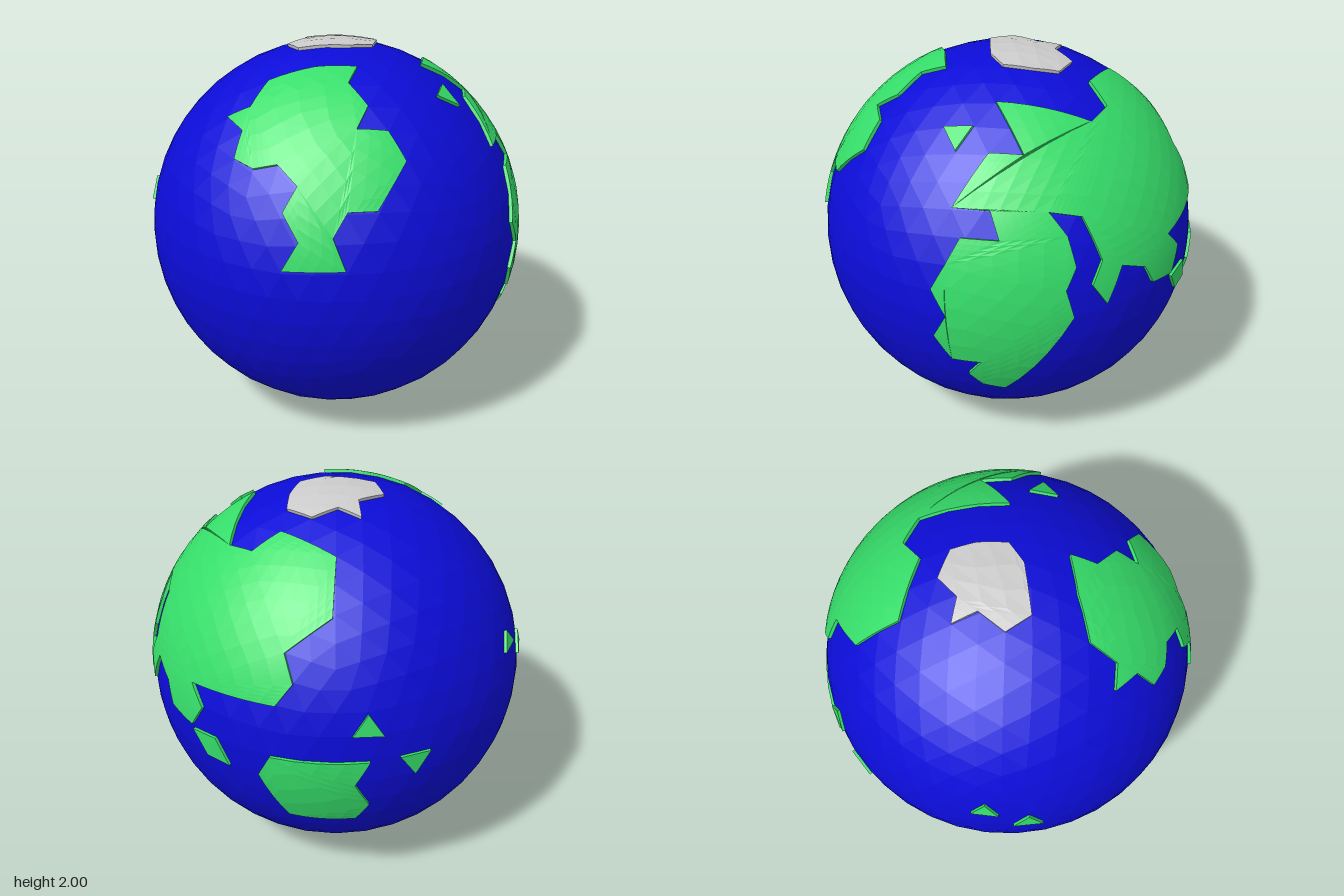
import * as THREE from 'three';

const CENTRE = [0, 0.992, 0.003];
const OCEAN_R = 0.992, LAND_R = 1.007, SUNK_R = 0.975;

const material = (color) => new THREE.MeshStandardMaterial({ color, flatShading: true });

// Outlines as directions from the globe's centre (x, y, z)
const frontContinent = [
  0.30, 0.94, 0.14, 0.36, 0.895, 0.26, 0.51, 0.82, 0.275, 0.55, 0.74, 0.39, 0.637, 0.725, 0.27,
  0.75, 0.60, 0.265, 0.78, 0.42, 0.48, 0.695, 0.42, 0.59, 0.68, 0.31, 0.67, 0.747, 0.157, 0.65,
  0.515, 0.146, 0.846, 0.561, 0.285, 0.777, 0.465, 0.407, 0.786, 0.481, 0.519, 0.706,
  0.36, 0.598, 0.72, 0.26, 0.566, 0.783, 0.14, 0.588, 0.797, 0.10, 0.70, 0.71,
  -0.045, 0.73, 0.685, 0.053, 0.785, 0.615, 0.022, 0.88, 0.47, 0.163, 0.942, 0.29];

const northernContinent = [
  0.36, 0.895, -0.265, 0.44, 0.73, -0.52, 0.547, 0.737, -0.397, 0.765, 0.527, -0.37,
  0.67, 0.53, -0.525, 0.695, 0.414, -0.605, 0.475, 0.515, -0.71, 0.35, 0.48, -0.81,
  0.315, 0.27, -0.91, 0.38, 0.16, -0.91, 0.31, 0.04, -0.95, 0.215, 0.215, -0.95,
  0.073, 0.155, -0.983, 0.015, 0.045, -0.998, -0.155, 0.015, -0.988, -0.228, 0.14, -0.964,
  -0.137, 0.24, -0.96, -0.58, 0.265, -0.77, -0.617, 0.376, -0.692, -0.535, 0.50, -0.68,
  -0.61, 0.645, -0.46, -0.435, 0.845, -0.312, -0.136, 0.895, -0.424, -0.10, 0.817, -0.568,
  0.056, 0.797, -0.60];

const southernContinent = [
  0.695, 0.414, -0.605, 0.793, 0.41, -0.45, 0.865, 0.28, -0.417, 0.916, 0.152, -0.37,
  0.896, 0.019, -0.444, 0.918, -0.11, -0.38, 0.86, -0.249, -0.444, 0.785, -0.249, -0.567,
  0.797, -0.35, -0.492, 0.731, -0.436, -0.524, 0.65, -0.468, -0.60, 0.471, 0.008, -0.882,
  0.50, 0.16, -0.85, 0.44, 0.265, -0.856, 0.44, 0.409, -0.797, 0.475, 0.515, -0.71];

const southernIsland = [
  -0.524, -0.131, -0.842, -0.583, -0.007, -0.813, -0.895, -0.01, -0.445, -0.851, -0.149, -0.503,
  -0.857, -0.30, -0.418, -0.788, -0.42, -0.451, -0.58, -0.408, -0.704];

const polarIce = [
  -0.32, 0.944, -0.08, -0.205, 0.969, -0.136, -0.18, 0.944, -0.275, -0.03, 0.947, -0.32,
  0.07, 0.969, -0.237, 0.157, 0.981, -0.115, 0.115, 0.993, 0.01, -0.067, 0.979, 0.195,
  -0.205, 0.968, 0.147, -0.205, 0.979, -0.013];

const islets = [
  [-0.86, 0.263, 0.44, -0.80, 0.354, 0.484, -0.785, 0.263, 0.56],
  [-0.758, 0.146, 0.635, -0.69, 0.247, 0.68, -0.652, 0.141, 0.745],
  [0.51, 0.82, -0.26, 0.63, 0.733, -0.26, 0.584, 0.80, -0.136],
  [-0.865, 0.244, -0.438, -0.917, 0.127, -0.38, -0.846, 0.136, -0.515],
  [-0.951, -0.005, -0.307, -0.988, -0.007, -0.15, -0.965, -0.13, -0.223],
  [-0.16, -0.01, -0.987, -0.313, 0.003, -0.95, -0.377, -0.137, -0.916, -0.242, -0.131, -0.96]];

// A raised plate on the sphere: curved top plus a rim that sinks into the ocean
function plateGeometry(flat, steps) {
  let points = [];
  for (let i = 0; i < flat.length; i += 3) {
    points.push(new THREE.Vector3().fromArray(flat, i).normalize());
  }
  // Project straight from the centre on to a tangent plane, so great circles stay straight
  const mid = points.reduce((sum, p) => sum.add(p), new THREE.Vector3()).normalize();
  const e1 = new THREE.Vector3(0.3, 0.2, 0.9).cross(mid).normalize();
  const e2 = mid.clone().cross(e1);
  const project = (p) => new THREE.Vector2(p.dot(e1), p.dot(e2)).divideScalar(p.dot(mid));
  if (THREE.ShapeUtils.isClockWise(points.map(project))) points.reverse();

  const positions = [];
  const put = (p, r) => positions.push(p.x * r, p.y * r, p.z * r);

  // Top, each triangle split into a grid and pushed out to the sphere
  for (const [ia, ib, ic] of THREE.ShapeUtils.triangulateShape(points.map(project), [])) {
    const [a, b, c] = [points[ia], points[ib], points[ic]];
    const at = (i, j) => a.clone().multiplyScalar(steps - i - j)
      .addScaledVector(b, i).addScaledVector(c, j).normalize();
    for (let i = 0; i < steps; i++) {
      for (let j = 0; j < steps - i; j++) {
        [at(i, j), at(i + 1, j), at(i, j + 1)].forEach((p) => put(p, LAND_R));
        if (i + j < steps - 1) {
          [at(i + 1, j), at(i + 1, j + 1), at(i, j + 1)].forEach((p) => put(p, LAND_R));
        }
      }
    }
  }
  // Rim
  points.forEach((a, k) => {
    const b = points[(k + 1) % points.length];
    for (let i = 0; i < steps; i++) {
      const p = a.clone().lerp(b, i / steps).normalize();
      const q = a.clone().lerp(b, (i + 1) / steps).normalize();
      put(p, SUNK_R); put(q, SUNK_R); put(q, LAND_R);
      put(p, SUNK_R); put(q, LAND_R); put(p, LAND_R);
    }
  });
  const geometry = new THREE.BufferGeometry();
  geometry.setAttribute('position', new THREE.Float32BufferAttribute(positions, 3));
  geometry.computeVertexNormals();
  return geometry;
}

export function createModel() {
  const globe = new THREE.Group();
  globe.name = 'globe';
  const add = (name, geometry, mat) => {
    const mesh = new THREE.Mesh(geometry, mat);
    mesh.name = name;
    mesh.position.set(...CENTRE);
    globe.add(mesh);
  };
  const green = material(0x36de6a);

  // Ocean: faceted ball with one corner at each pole
  const ball = new THREE.IcosahedronGeometry(OCEAN_R, 7);
  ball.rotateZ(Math.atan2(1, (1 + Math.sqrt(5)) / 2)).rotateY(Math.PI);
  add('ocean', ball, material(0x0c0cd8));

  // Land and ice
  add('frontContinent', plateGeometry(frontContinent, 4), green);
  add('northernContinent', plateGeometry(northernContinent, 6), green);
  add('southernContinent', plateGeometry(southernContinent, 5), green);
  add('southernIsland', plateGeometry(southernIsland, 4), green);
  islets.forEach((outline, i) => add(`islet${i + 1}`, plateGeometry(outline, 1), green));
  add('polarIce', plateGeometry(polarIce, 3), material(0xcccccc));

  return globe;
}
